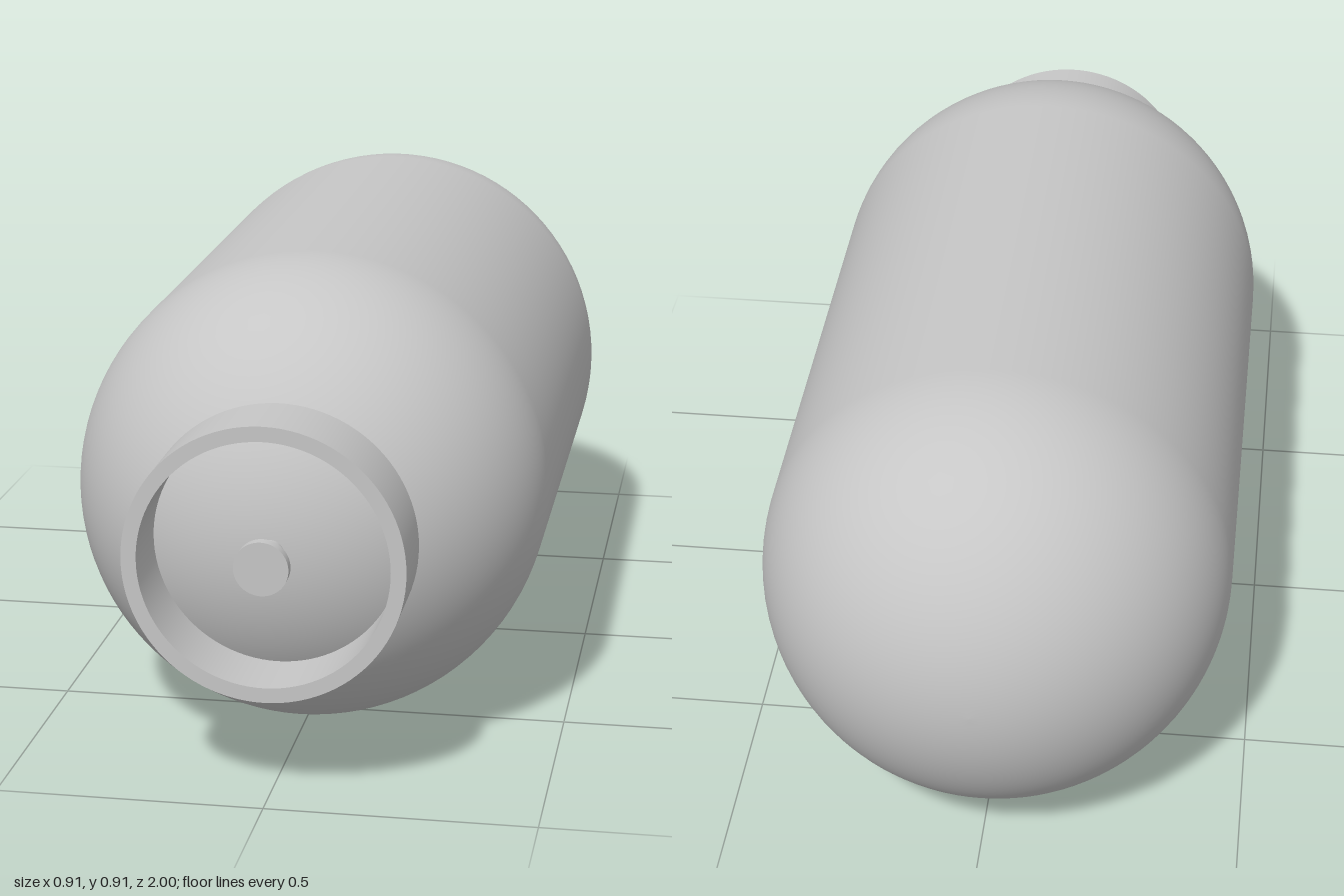
import * as THREE from 'three';
import { mergeGeometries } from 'three/addons/utils/BufferGeometryUtils.js';

const R = 0.457;                    // tank radius
const BACK = -0.543, FRONT = 0.453; // centres of the two domes
const SEGMENTS = 96;

// Revolve a profile of [radius, z] points about the z axis
const revolve = (profile) =>
  new THREE.LatheGeometry(profile.map(([r, z]) => new THREE.Vector2(r, z)), SEGMENTS).rotateX(Math.PI / 2);

// Revolve each straight run on its own so the edges between them stay sharp
const revolveSharp = (profile) =>
  mergeGeometries(profile.slice(1).map((p, i) => revolve([profile[i], p])));

export function createModel() {
  const model = new THREE.Group();
  model.name = 'gasTank';
  const metal = new THREE.MeshStandardMaterial({ color: 0xc6c6c6 });
  metal.name = 'grey metal';

  const add = (name, geometry) => {
    const mesh = new THREE.Mesh(geometry, metal);
    mesh.name = name;
    mesh.position.y = R;
    model.add(mesh);
  };

  // Tank: cylinder with a hemispherical dome at each end
  const tank = [];
  const steps = 28;
  for (const [centre, start] of [[BACK, -Math.PI / 2], [FRONT, 0]]) {
    for (let i = 0; i <= steps; i++) {
      const a = start + (i / steps) * Math.PI / 2;
      tank.push([Math.max(0, R * Math.cos(a)), centre + R * Math.sin(a)]);
    }
  }
  add('tankBody', revolve(tank));

  // Open collar around the front dome
  add('collar', revolveSharp([[0.258, 0.825], [0.258, 0.985], [0.23, 0.985], [0.23, 0.84]]));

  // Valve: thin stem with a flat round head
  add('valveStem', revolveSharp([[0.025, 0.9], [0.025, 0.985]]));
  add('valveHead', revolveSharp([[0, 0.98], [0.05, 0.98], [0.05, 1], [0, 1]]));

  return model;
}
